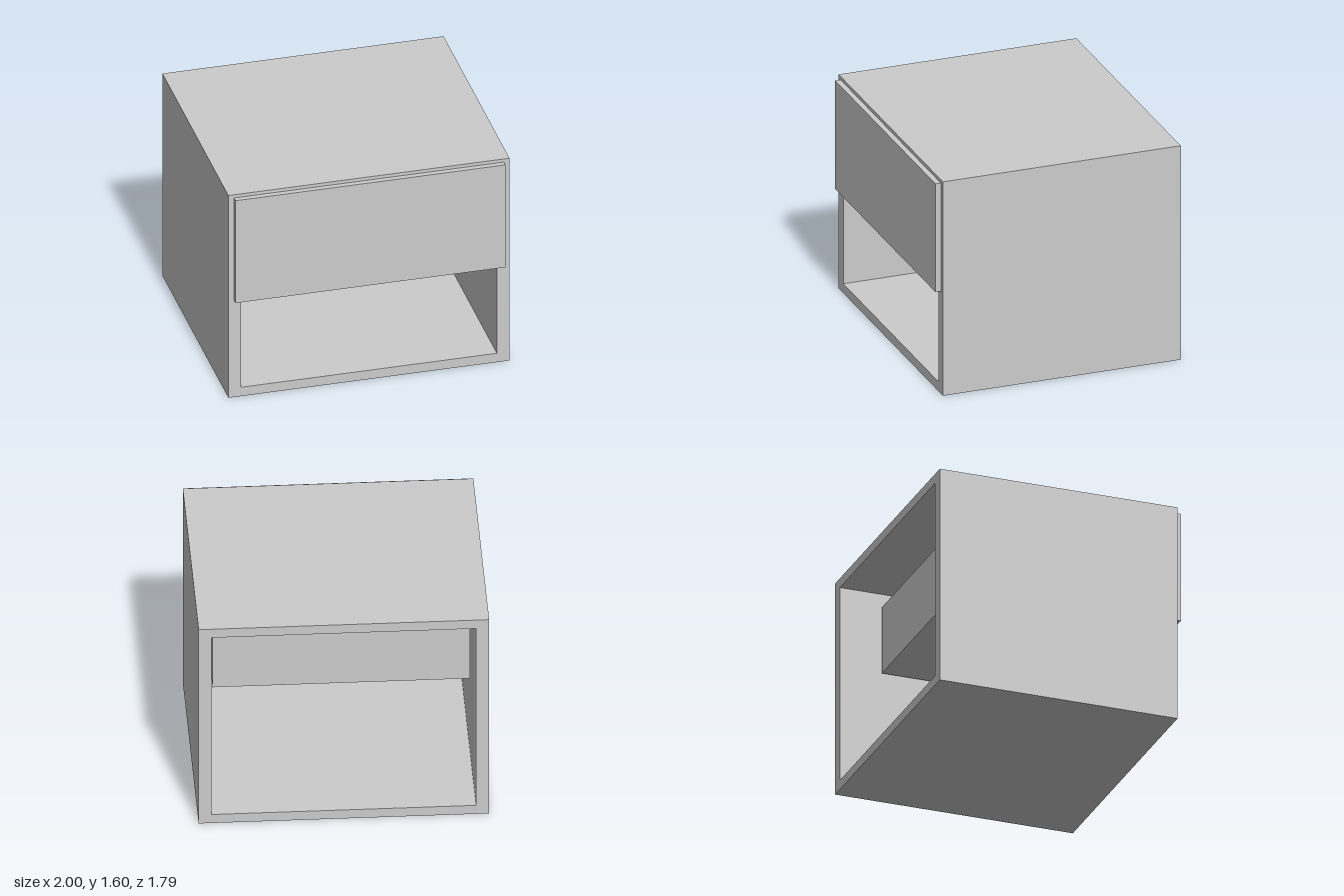
import * as THREE from 'three';

const material = new THREE.MeshStandardMaterial({ color: 0xcccccc, flatShading: true });

// Traces a rectangle onto a Shape or Path
function rect(path, x0, y0, x1, y1) {
  path.moveTo(x0, y0);
  path.lineTo(x1, y0);
  path.lineTo(x1, y1);
  path.lineTo(x0, y1);
  path.closePath();
  return path;
}

// Rectangular frame extruded along z
function frame(outer, inner, depth) {
  const shape = rect(new THREE.Shape(), ...outer);
  shape.holes.push(rect(new THREE.Path(), ...inner));
  return new THREE.ExtrudeGeometry(shape, { depth, bevelEnabled: false });
}

function add(parent, name, geometry, x, y, z) {
  const mesh = new THREE.Mesh(geometry, material);
  mesh.name = name;
  mesh.position.set(x, y, z);
  parent.add(mesh);
  return mesh;
}

export function createModel() {
  const model = new THREE.Group();
  model.name = 'nightstand';

  // Cabinet shell, open at the front and back
  const back = -0.895, front = 0.855;
  add(model, 'cabinetShell',
    frame([-1, 0, 1, 1.6], [-0.91, 0.07, 0.91, 1.53], front - back), 0, 0, back);

  const drawer = new THREE.Group();
  drawer.name = 'drawer';
  model.add(drawer);

  // Front panel overlapping the shell edges
  add(drawer, 'drawerFront', new THREE.BoxGeometry(1.92, 0.81, 0.04), 0, 1.17, 0.875);

  // Open-topped drawer box: four walls as an upright frame, plus a bottom
  const halfW = 0.885, zBack = -0.595, wall = 0.06, y0 = 0.92, y1 = 1.42;
  const walls = frame(
    [-halfW, -front, halfW, -zBack],
    [-halfW + wall, -front + wall, halfW - wall, -zBack - wall], y1 - y0);
  walls.rotateX(-Math.PI / 2);
  add(drawer, 'drawerWalls', walls, 0, y0, 0);
  add(drawer, 'drawerBottom',
    new THREE.BoxGeometry(2 * (halfW - wall), 0.05, front - zBack - 2 * wall),
    0, y0 + 0.025, (front + zBack) / 2);

  return model;
}
